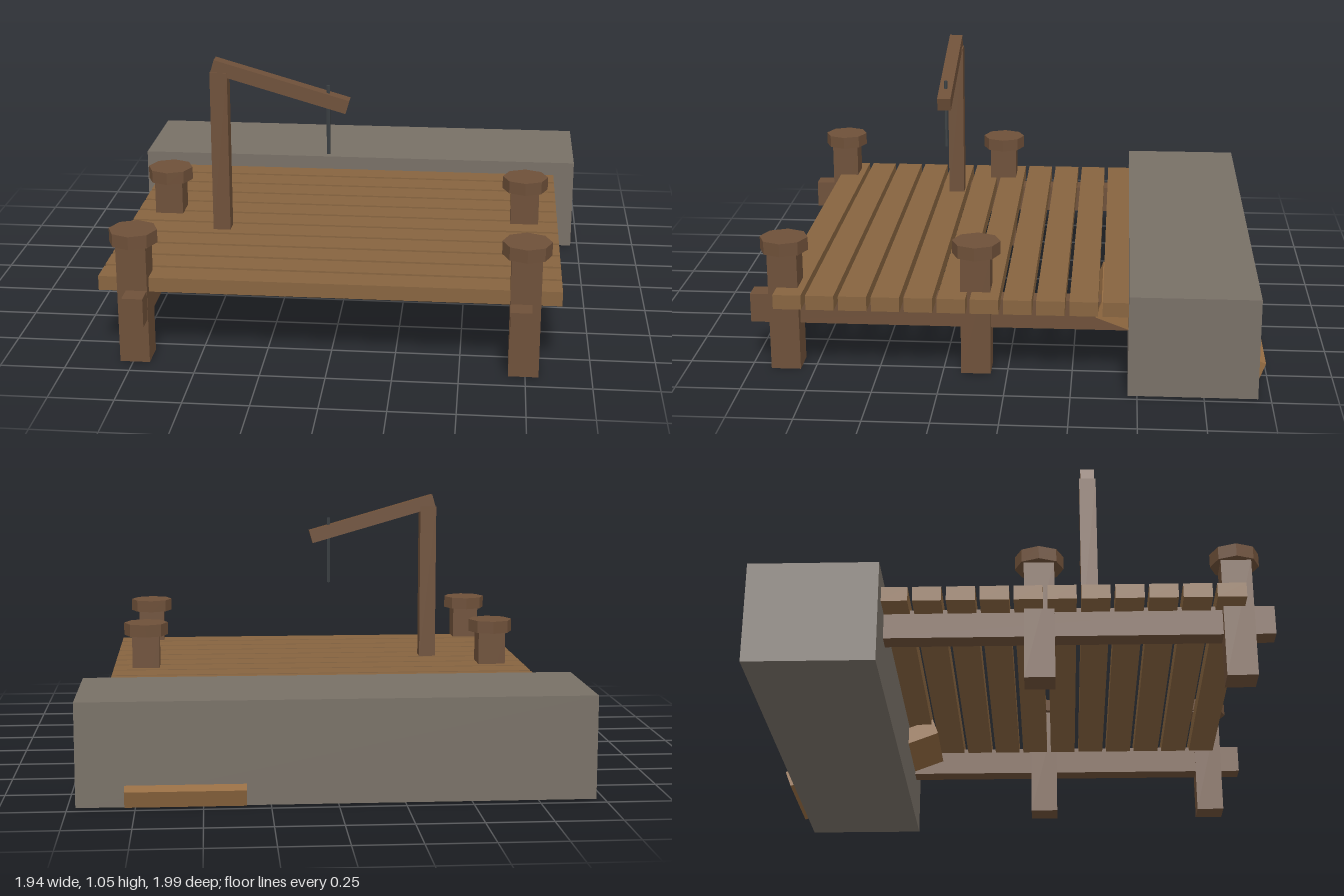
import * as THREE from 'three';

const material = (color) => new THREE.MeshStandardMaterial({ color, flatShading: true });

export function createModel() {
  const model = new THREE.Group();
  model.name = 'dock';
  const plankWood = material(0x87643f);
  const darkWood = material(0x6e5039);
  const rampWood = material(0x966d43);
  const stone = material(0x787066);
  const iron = material(0x3a3f42);

  const add = (name, geometry, mat, x, y, z) => {
    const mesh = new THREE.Mesh(geometry, mat);
    mesh.name = name;
    mesh.position.set(x, y, z);
    model.add(mesh);
    return mesh;
  };
  const box = (name, mat, w, h, d, x, y, z) =>
    add(name, new THREE.BoxGeometry(w, h, d), mat, x, y, z);

  // Stone quay at the back
  box('quay', stone, 1.94, 0.395, 0.488, 0, 0.1975, -0.708);

  // Deck planks, front to back
  for (let i = 0; i < 11; i++) {
    box('deckPlank', plankWood, 1.76, 0.057, 0.108, 0, 0.308, 0.833 - i * 0.1253);
  }

  // Beams under the deck and mooring posts with octagonal caps
  for (const side of [-1, 1]) {
    box('deckBeam', darkWood, 0.08, 0.115, 1.56, side * 0.727, 0.2375, 0.22);
    for (const z of [0.863, 0.121]) {
      box('post', darkWood, 0.115, 0.475, 0.115, side * 0.743, 0.2375, z);
      add('postCap', new THREE.CylinderGeometry(0.093, 0.093, 0.052, 8), darkWood,
        side * 0.743, 0.499, z);
    }
  }

  // Crane: upright, sloping arm and hanging rod
  box('craneUpright', darkWood, 0.07, 0.68, 0.067, -0.491, 0.66, 0.317);
  const arm = box('craneArm', darkWood, 0.563, 0.056, 0.056, -0.246, 0.947, 0.317);
  arm.rotation.z = -0.28;
  add('hangingRod', new THREE.CylinderGeometry(0.008, 0.008, 0.285, 6), iron,
    -0.054, 0.809, 0.317);

  // Ramp board passing through the quay
  const ramp = box('rampBoard', rampWood, 0.45, 0.068, 0.675, 0.565, 0.153, -0.665);
  ramp.rotation.x = -0.36;

  return model;
}
